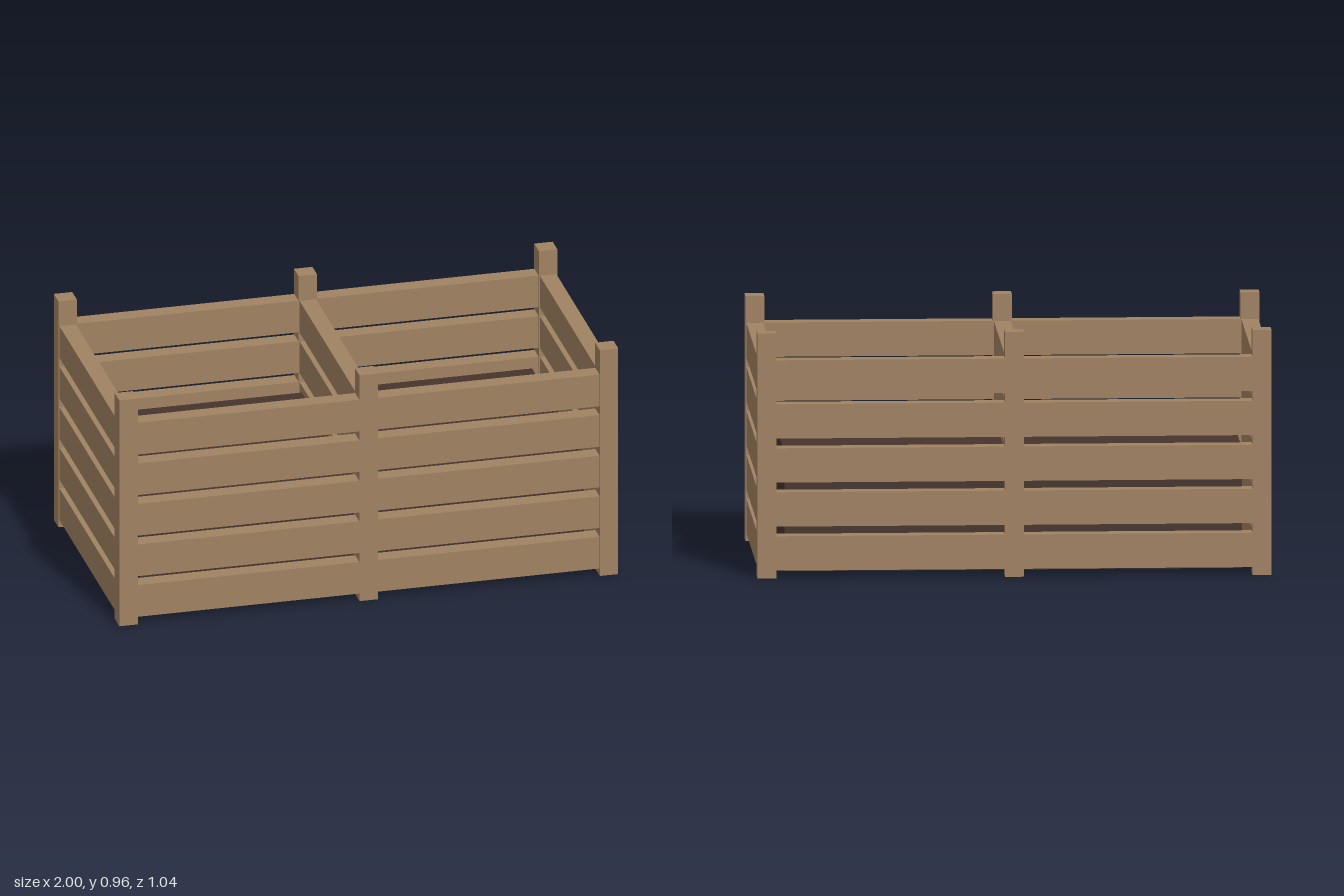
import * as THREE from 'three';

export function createModel() {
  const group = new THREE.Group();
  group.name = 'slattedPlanter';

  const wood = new THREE.MeshStandardMaterial({ color: 0xa08262 });
  wood.name = 'wood';
  const soil = new THREE.MeshStandardMaterial({ color: 0x46342d });
  soil.name = 'soil';

  const box = (name, material, [w, h, d], [x, y, z]) => {
    const mesh = new THREE.Mesh(new THREE.BoxGeometry(w, h, d), material);
    mesh.name = name;
    mesh.position.set(x, y, z);
    group.add(mesh);
  };

  const POST = 0.074, HEIGHT = 0.963;      // square posts
  const PX = 0.963, PZ = 0.481;            // post centres
  const SLAT = 0.135, THICK = 0.066, PITCH = 0.173, FIRST = 0.098;

  // Six posts: four corners and two in the middle
  for (const x of [-PX, 0, PX])
    for (const z of [-PZ, PZ])
      box('post', wood, [POST, HEIGHT, POST], [x, HEIGHT / 2, z]);

  // Five rows of slats
  for (let i = 0; i < 5; i++) {
    const y = FIRST + i * PITCH;
    // Front and back, one slat per bay
    for (const z of [-PZ, PZ])
      for (const side of [-1, 1])
        box(z > 0 ? 'frontSlat' : 'backSlat', wood,
          [PX - POST, SLAT, THICK], [side * PX / 2, y, z]);
    // Both ends and the middle divider
    for (const x of [-PX, 0, PX])
      box(x === 0 ? 'dividerSlat' : 'endSlat', wood,
        [THICK, SLAT, 2 * PZ - POST], [x, y, 0]);
  }

  // Block of soil filling the lower half
  box('soilBed', soil, [1.78, 0.47, 0.82], [0, 0.247, 0]);

  return group;
}
